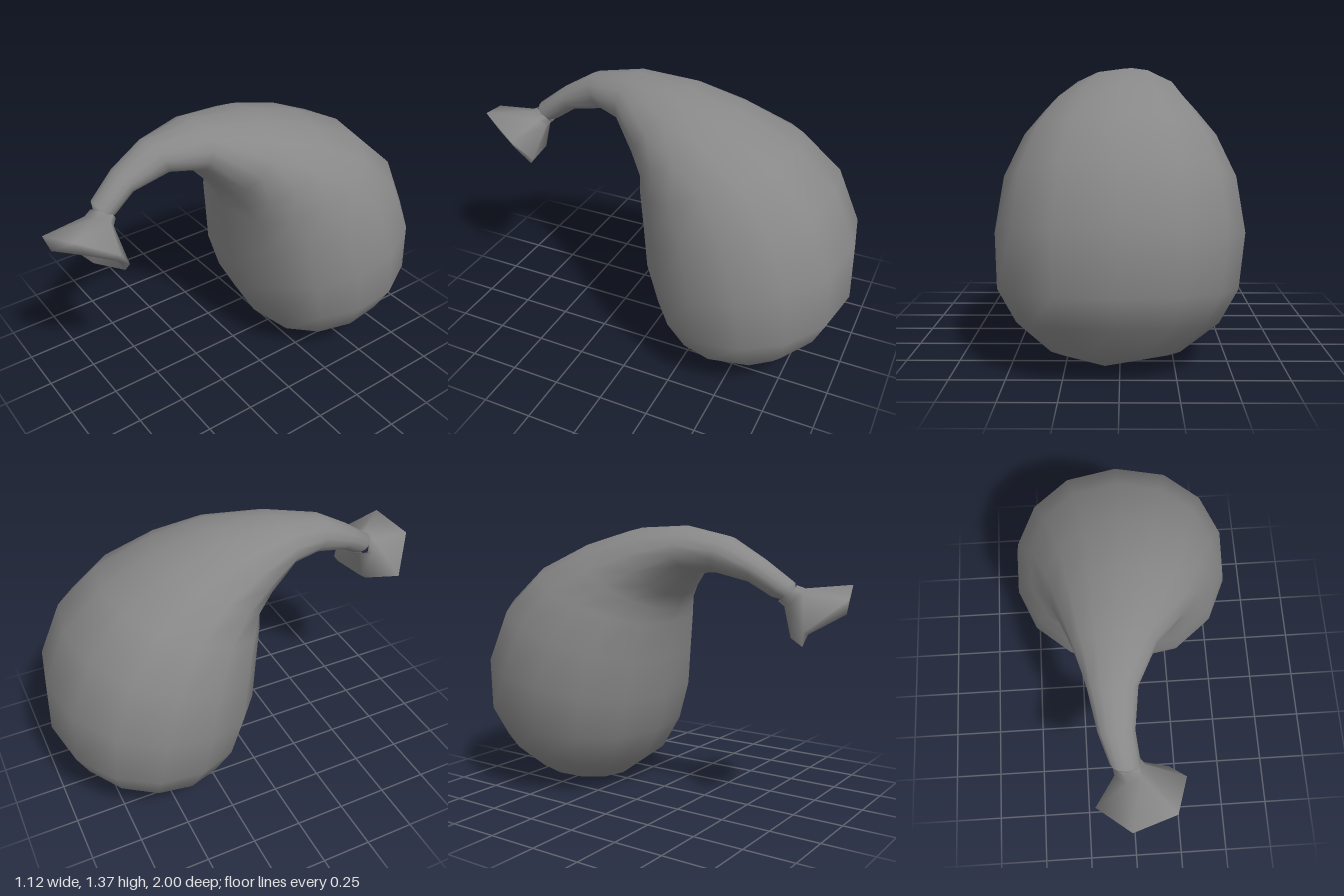
import * as THREE from 'three';

const SIDES = 14;

// Stations along the skin: outer z, outer y, inner z, inner y, half width, x centre
const STATIONS = [
  [-0.81, 0.12, -0.29, 0.02, 0.3, 0.02],
  [-0.93, 0.28, -0.14, 0.13, 0.465, 0.01],
  [-1.0, 0.43, -0.05, 0.3, 0.55, 0.01],
  [-0.99, 0.71, 0.01, 0.5, 0.57, 0.0],
  [-0.87, 0.98, 0.03, 0.7, 0.535, 0.0],
  [-0.67, 1.16, 0.06, 0.88, 0.455, 0.0],
  [-0.39, 1.29, 0.08, 0.95, 0.375, 0.0],
  [-0.12, 1.36, 0.12, 1.02, 0.3, -0.02],
  [0.18, 1.37, 0.23, 1.14, 0.19, -0.06],
  [0.43, 1.32, 0.35, 1.15, 0.115, -0.08],
  [0.6, 1.22, 0.54, 1.11, 0.085, -0.075],
  [0.74, 1.115, 0.64, 1.045, 0.07, -0.045],
  [0.74, 1.06, 0.7, 1.03, 0.04, -0.03],
];

// Mouth corners, in order around the opening: widest rim, then the lip below it
const RIM = [[-0.19, 0.91, 0.86], [-0.03, 1.05, 1.0], [0.17, 1.1, 0.94],
  [0.23, 1.0, 0.76], [0.16, 0.88, 0.685], [-0.04, 0.86, 0.73]];
const LIP = [[-0.16, 0.9, 0.87], [0.0, 0.98, 0.98], [0.15, 1.0, 0.88],
  [0.2, 0.95, 0.76], [0.15, 0.85, 0.705], [-0.02, 0.82, 0.78]];

// Joins equal rings of points into one smooth skin, optionally closed at a start point
function loft(rings, cap) {
  const n = rings[0].length;
  const pos = rings.flat(2);
  const index = [];
  for (let j = 0; j < n; j++) {
    const k = (j + 1) % n;
    for (let s = 0; s < rings.length - 1; s++) {
      const a = s * n + j, b = s * n + k;
      index.push(a, a + n, b, b, a + n, b + n);
    }
    if (cap) index.push(rings.length * n, j, k);
  }
  if (cap) pos.push(...cap);
  const g = new THREE.BufferGeometry();
  g.setAttribute('position', new THREE.Float32BufferAttribute(pos, 3));
  g.setIndex(index);
  g.computeVertexNormals();
  return g;
}

// One cross-section of the skin, squarer on the bulb
function skinRing([oz, oy, iz, iy, w, cx], s) {
  const bulb = s > 0 && s < 6;
  return Array.from({ length: SIDES }, (_, j) => {
    const a = (j / SIDES) * Math.PI * 2;
    const c = Math.cos(a), sn = Math.sin(a);
    const power = bulb ? (c < 0 ? 0.8 : 0.9) : 1;
    const side = Math.sign(sn) * Math.abs(sn) ** power;
    return [cx + w * side, (oy + iy) / 2 + ((oy - iy) / 2) * c, (oz + iz) / 2 + ((oz - iz) / 2) * c];
  });
}

// The rim shrunk about its middle and moved to a new centre
function shrunkRim(centre, scale) {
  const middle = [0.017, 0.967, 0.83];
  return RIM.map((p) => p.map((v, i) => centre[i] + (v - middle[i]) * scale));
}

export function createModel() {
  const group = new THREE.Group();
  const material = new THREE.MeshStandardMaterial({ color: 0x888888, side: THREE.DoubleSide });
  const add = (name, geometry) => {
    const mesh = new THREE.Mesh(geometry, material);
    mesh.name = name;
    group.add(mesh);
  };

  // Bulb and bent neck, closed at the bottom
  add('bulbAndNeck', loft(STATIONS.map(skinRing), [0.07, 0.0, -0.57]));

  // Six-sided flared mouth: collar, rim, lip and hollow throat
  add('mouth', loft([
    shrunkRim([-0.04, 1.06, 0.7], 0.3),
    shrunkRim([-0.025, 1.04, 0.73], 0.34),
    RIM,
    LIP,
    shrunkRim([-0.015, 1.01, 0.76], 0.2),
  ]));

  return group;
}
